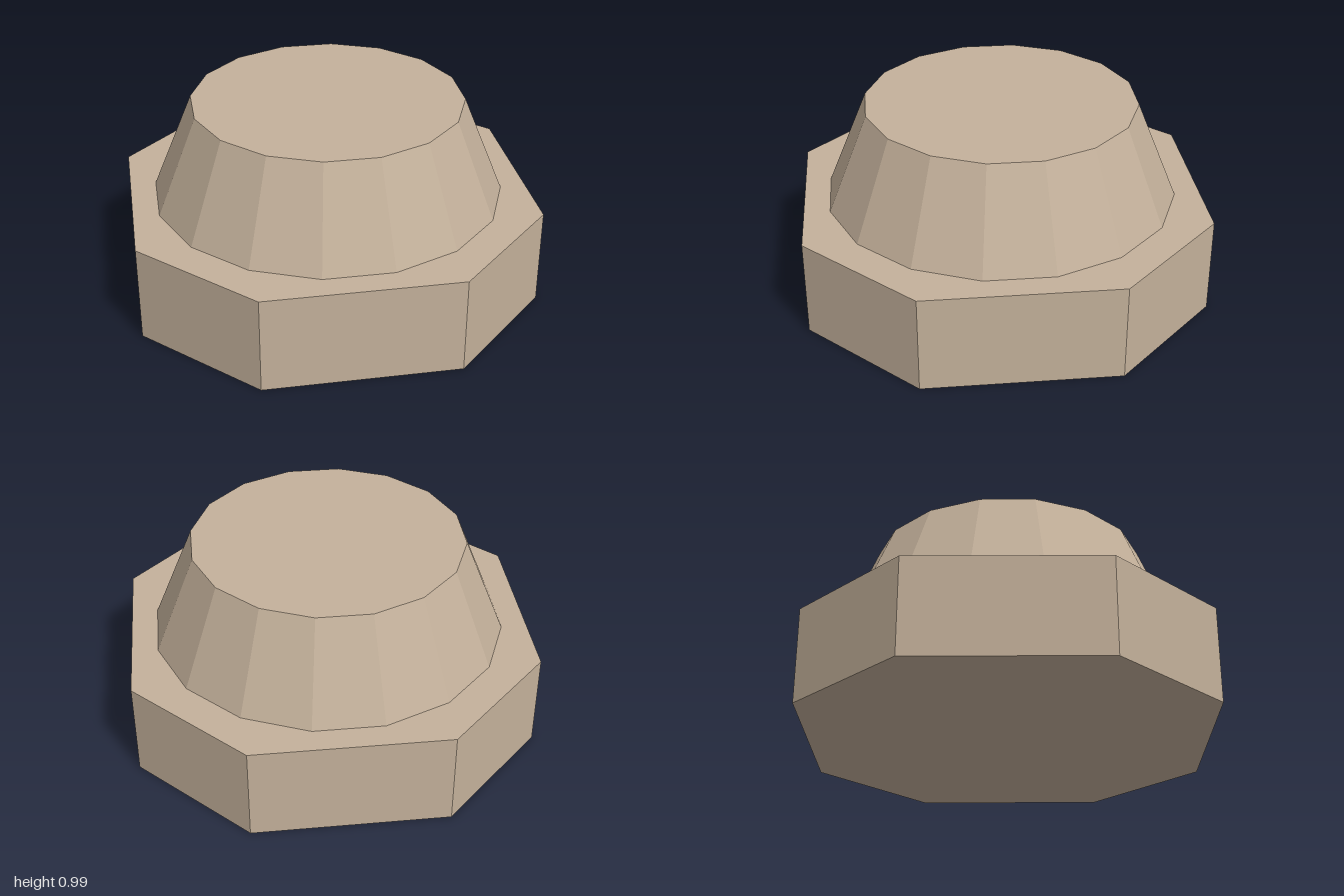
import * as THREE from 'three';

export function createModel() {
  const group = new THREE.Group();
  const material = new THREE.MeshStandardMaterial({ color: 0xc4b19b, flatShading: true });
  const baseHeight = 0.49;
  const topHeight = 0.985;

  // Octagonal plinth: a square with its corners cut off
  const half = 1, cut = 0.48;
  const outline = new THREE.Shape([
    [cut, -half], [half, -cut], [half, cut], [cut, half],
    [-cut, half], [-half, cut], [-half, -cut], [-cut, -half],
  ].map(([x, y]) => new THREE.Vector2(x, y)));
  const plinthGeometry = new THREE.ExtrudeGeometry(outline, { depth: baseHeight, bevelEnabled: false });
  plinthGeometry.rotateX(-Math.PI / 2);
  const plinth = new THREE.Mesh(plinthGeometry, material);
  plinth.name = 'plinth';
  group.add(plinth);

  // Tapered sixteen-sided drum, turned so a flat faces the front
  const sides = 16;
  const toCorner = 1 / Math.cos(Math.PI / sides);
  const drumHeight = topHeight - baseHeight;
  const drumGeometry = new THREE.CylinderGeometry(0.67 * toCorner, 0.87 * toCorner, drumHeight, sides);
  drumGeometry.rotateY(Math.PI / sides);
  const drum = new THREE.Mesh(drumGeometry, material);
  drum.name = 'taperedDrum';
  drum.position.y = baseHeight + drumHeight / 2;
  group.add(drum);

  return group;
}
